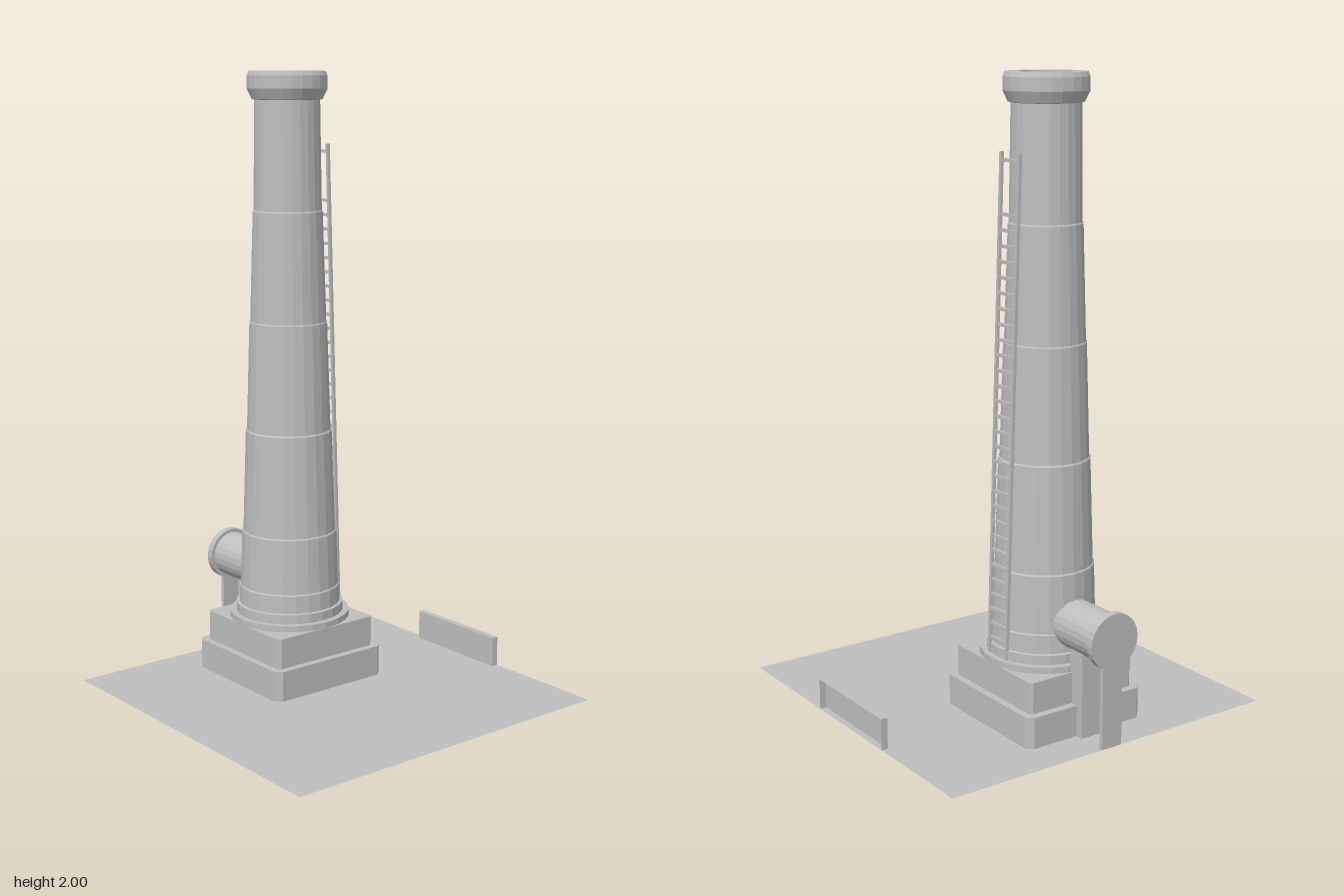
import * as THREE from 'three';
import { toCreasedNormals } from 'three/addons/utils/BufferGeometryUtils.js';

const CX = 0.01, CZ = -0.24; // stack axis

export function createModel() {
  const model = new THREE.Group();
  model.name = 'chimneyStack';
  const grey = new THREE.MeshStandardMaterial({ color: 0xbebebe, side: THREE.DoubleSide });
  grey.name = 'concrete grey';

  const add = (name, geometry, x = 0, y = 0, z = 0, parent = model) => {
    const mesh = new THREE.Mesh(geometry, grey);
    mesh.name = name;
    mesh.position.set(x, y, z);
    parent.add(mesh);
    return mesh;
  };
  const faceted = (g) => toCreasedNormals(g, 0.1);

  // Box with cut vertical corners, standing on its base
  const chamferedBlock = (w, h, d, c) => {
    const x = w / 2, z = d / 2;
    const shape = new THREE.Shape([
      [-x + c, -z], [x - c, -z], [x, -z + c], [x, z - c],
      [x - c, z], [-x + c, z], [-x, z - c], [-x, -z + c],
    ].map((p) => new THREE.Vector2(...p)));
    return new THREE.ExtrudeGeometry(shape, { depth: h, bevelEnabled: false }).rotateX(-Math.PI / 2);
  };

  // Ground sheet
  add('ground', new THREE.PlaneGeometry(1.18, 1.18).rotateX(-Math.PI / 2));

  // Stepped plinth
  add('lowerPlinth', chamferedBlock(0.44, 0.1, 0.45, 0.02), CX, 0, CZ);
  add('upperPlinth', chamferedBlock(0.393, 0.1, 0.4, 0.01), CX, 0.1, CZ);
  add('baseDisc', faceted(new THREE.CylinderGeometry(0.2, 0.2, 0.022, 24)), CX, 0.209, CZ);

  // Tapering stack with a small ledge at each joint, flared lip and hollow flue
  const profile = [
    [0.179, 0.215], [0.179, 0.25], [0.169, 0.252],
    [0.168, 0.31], [0.164, 0.314], [0.158, 0.495], [0.154, 0.5],
    [0.143, 0.835], [0.139, 0.84], [0.128, 1.195], [0.125, 1.2],
    [0.114, 1.555], [0.111, 1.56], [0.106, 1.91],
    [0.114, 1.912], [0.13, 1.945], [0.13, 1.985], [0.124, 2],
    [0.085, 2], [0.085, 1.5], [0.001, 1.5],
  ].map((p) => new THREE.Vector2(...p));
  add('stack', faceted(new THREE.LatheGeometry(profile, 24)), CX, 0, CZ);

  // Flue duct entering at the back, with end flange
  const alongZ = (r, length) => faceted(new THREE.CylinderGeometry(r, r, length, 24).rotateX(Math.PI / 2));
  add('duct', alongZ(0.076, 0.25), 0.006, 0.337, -0.445);
  add('ductFlange', alongZ(0.088, 0.024), 0.006, 0.337, -0.578);

  // Duct supports
  add('innerSupport', new THREE.BoxGeometry(0.074, 0.29, 0.06), 0.012, 0.145, -0.461);
  add('outerSupport', new THREE.BoxGeometry(0.074, 0.28, 0.014), 0.012, 0.14, -0.583);

  // Ladder leaning with the taper of the stack
  const ladder = new THREE.Group();
  ladder.name = 'ladder';
  model.add(ladder);
  const yLow = 0.22, yHigh = 1.77, xLow = 0.183, xHigh = 0.137;
  const xAt = (y) => xLow + (xHigh - xLow) * (y - yLow) / (yHigh - yLow);
  const lean = Math.atan2(xLow - xHigh, yHigh - yLow);
  for (const z of [-0.282, -0.192]) {
    const rail = add('ladderRail', new THREE.BoxGeometry(0.01, yHigh - yLow, 0.01),
      (xLow + xHigh) / 2, (yLow + yHigh) / 2, z, ladder);
    rail.rotation.z = lean;
  }
  const rung = new THREE.BoxGeometry(0.008, 0.01, 0.09);
  for (let i = 0; i < 29; i++) {
    const y = 0.27 + i * 0.047;
    add('ladderRung', rung, xAt(y), y, -0.237, ladder);
  }
  add('ladderTopRung', rung, xAt(1.745), 1.745, -0.237, ladder);

  // Low kerb wall, a shallow tray open on its outer side
  const kerb = new THREE.Group();
  kerb.name = 'kerbWall';
  model.add(kerb);
  const zMid = -0.018, len = 0.375, h = 0.1, t = 0.022, x0 = 0.568;
  add('kerbBack', new THREE.PlaneGeometry(len, h).rotateY(-Math.PI / 2), x0, h / 2, zMid, kerb);
  add('kerbTop', new THREE.PlaneGeometry(t, len).rotateX(-Math.PI / 2), x0 + t / 2, h, zMid, kerb);
  for (const s of [-1, 1]) {
    add('kerbEnd', new THREE.PlaneGeometry(t, h).rotateY(s > 0 ? 0 : Math.PI),
      x0 + t / 2, h / 2, zMid + s * len / 2, kerb);
  }
  return model;
}
